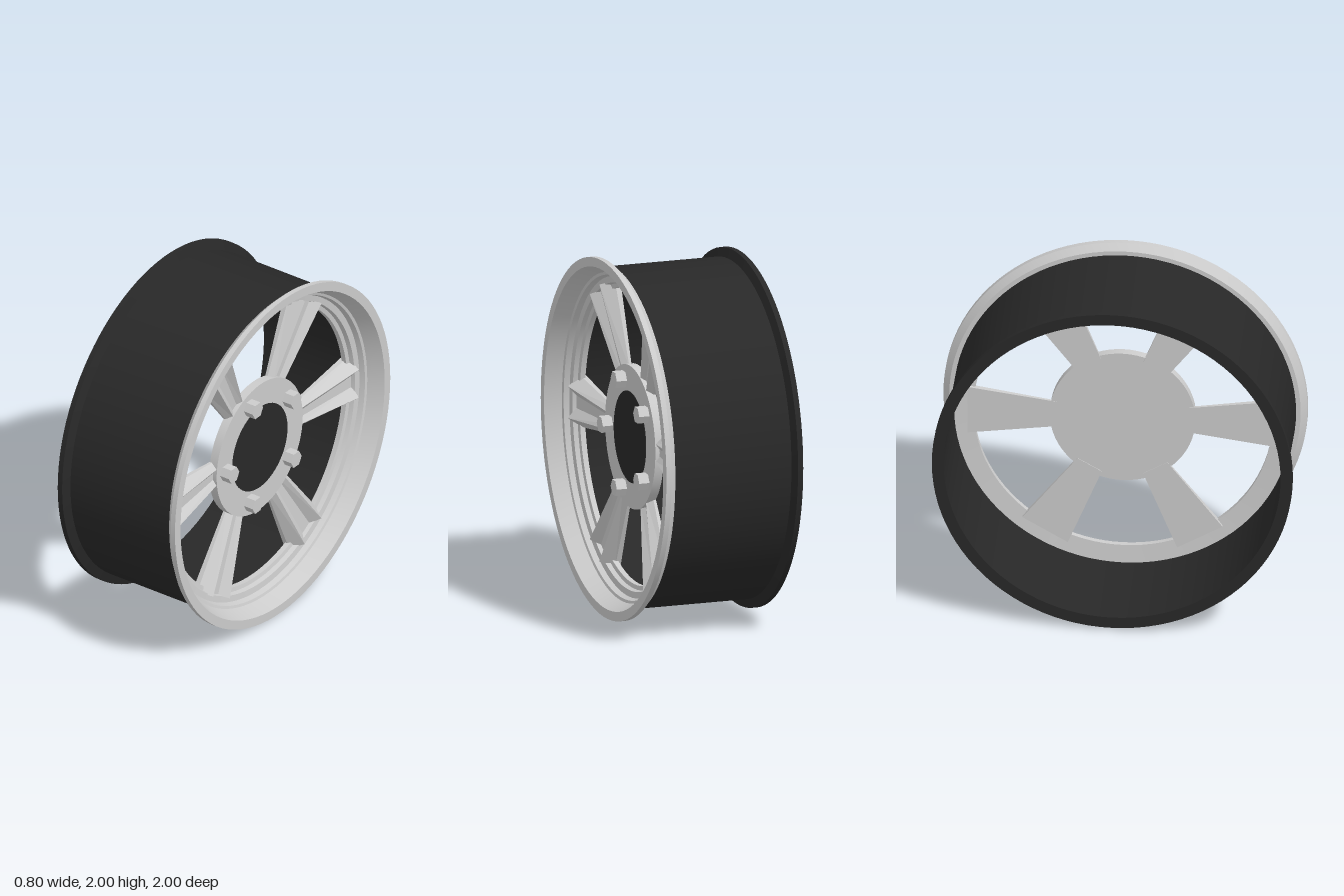
import * as THREE from 'three';
import { toCreasedNormals } from 'three/addons/utils/BufferGeometryUtils.js';

const grey = new THREE.MeshStandardMaterial({ color: 0xcccccc });
const black = new THREE.MeshStandardMaterial({ color: 0x282828 });

// Revolve a closed [radius, x] profile around the x axis
function revolve(name, profile, material) {
  const points = [...profile, profile[0]].map(([r, x]) => new THREE.Vector2(r, x));
  const geometry = new THREE.LatheGeometry(points, 96).rotateZ(-Math.PI / 2);
  const mesh = new THREE.Mesh(toCreasedNormals(geometry, 0.3), material);
  mesh.name = name;
  return mesh;
}

// Disc or prism along x, from x0 to x1
function disc(name, radius, x0, x1, sides, material) {
  const geometry = new THREE.CylinderGeometry(radius, radius, x1 - x0, sides).rotateZ(-Math.PI / 2);
  geometry.translate((x0 + x1) / 2, 0, 0);
  const mesh = new THREE.Mesh(sides < 12 ? toCreasedNormals(geometry, 0.3) : geometry, material);
  mesh.name = name;
  return mesh;
}

// Twin-ridged spoke, widening and thickening from the hub to the rim
function spokeGeometry() {
  const section = [[-1, 0], [1, 0], [1, 0.3], [0.62, 1], [0.25, 0.55], [-0.25, 0.55], [-0.62, 1], [-1, 0.3]];
  const shape = new THREE.Shape(section.map(([w, h]) => new THREE.Vector2(w, h)));
  const geometry = new THREE.ExtrudeGeometry(shape, { depth: 1, bevelEnabled: false });
  const p = geometry.attributes.position;
  for (let i = 0; i < p.count; i++) {
    const w = p.getX(i), h = p.getY(i), t = p.getZ(i);
    p.setXYZ(i, 0.192 + h * (0.045 + 0.06 * t), 0.36 + 0.49 * t, w * (0.077 + 0.067 * t));
  }
  geometry.computeVertexNormals();
  return geometry;
}

export function createModel() {
  const wheel = new THREE.Group();
  wheel.name = 'wheelRim';
  wheel.position.y = 1;

  // Black barrel with the inner flange
  wheel.add(revolve('barrel', [
    [0.925, -0.4], [0.99, -0.4], [0.99, -0.37], [0.94, -0.35],
    [0.94, 0.335], [0.925, 0.335],
  ], black));

  // Stepped outer lip
  wheel.add(revolve('outerLip', [
    [0.93, 0.2], [0.938, 0.335], [0.965, 0.335], [1, 0.37], [1, 0.4], [0.948, 0.4],
    [0.91, 0.31], [0.895, 0.305], [0.885, 0.275], [0.85, 0.27], [0.843, 0.245],
    [0.82, 0.24], [0.82, 0.21],
  ], grey));

  // Hub plate and centre cap
  wheel.add(disc('hub', 0.4, 0.195, 0.245, 64, grey));
  wheel.add(disc('centreCap', 0.255, 0.22, 0.248, 64, black));

  // Six spokes
  const spokeShape = spokeGeometry();
  for (let i = 0; i < 6; i++) {
    const spoke = new THREE.Mesh(spokeShape, grey);
    spoke.name = 'spoke';
    spoke.rotation.x = Math.PI / 2 + (i * Math.PI) / 3;
    wheel.add(spoke);
  }

  // Five hexagonal wheel nuts, all turned the same way
  for (let i = 0; i < 5; i++) {
    const a = (i * Math.PI * 2) / 5;
    const nut = disc('wheelNut', 0.049, 0.235, 0.305, 6, grey);
    nut.position.set(0, 0.32 * Math.sin(a), 0.32 * Math.cos(a));
    wheel.add(nut);
  }

  const model = new THREE.Group();
  model.name = 'wheel';
  model.add(wheel);
  return model;
}
